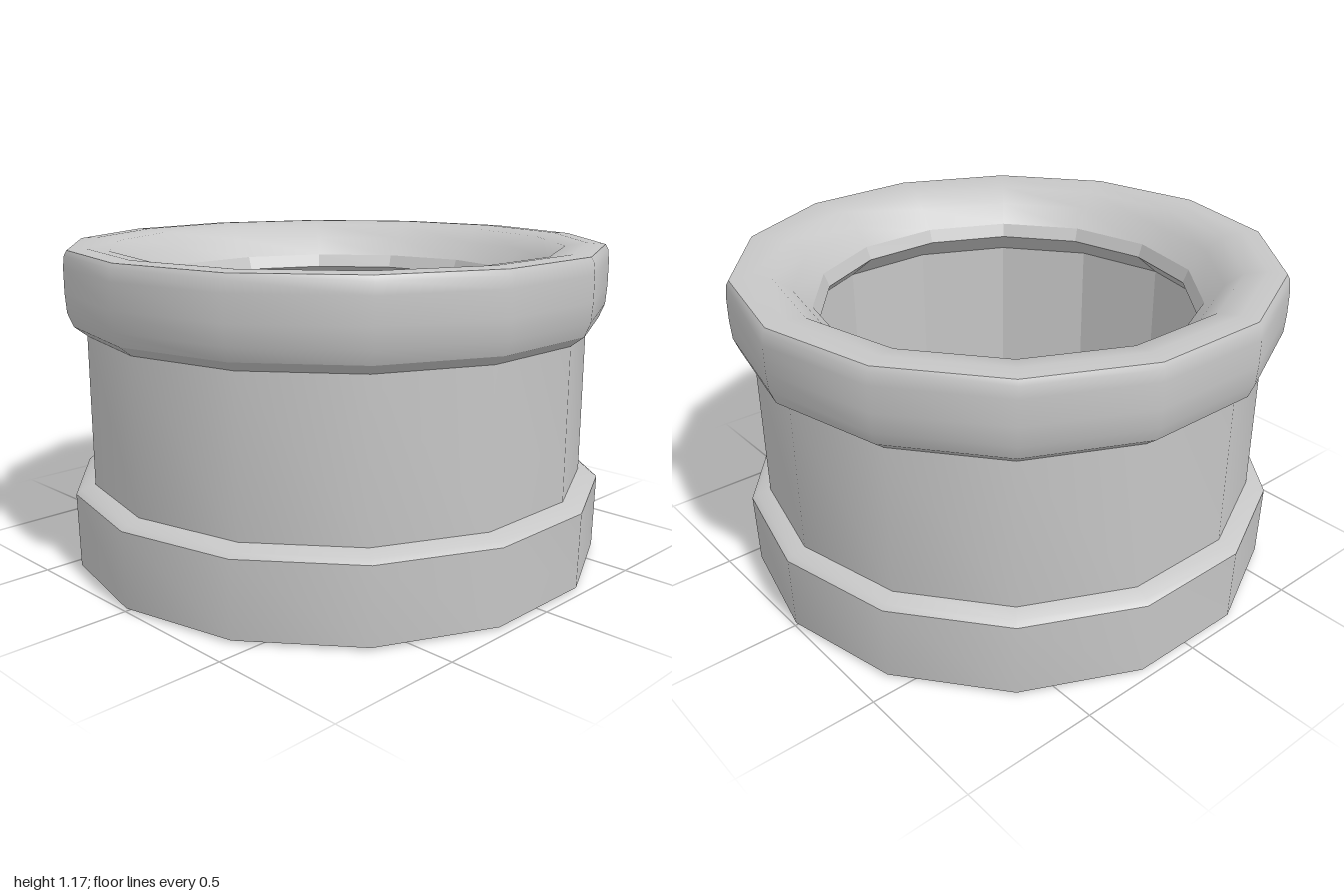
import * as THREE from 'three';
import { toCreasedNormals } from 'three/addons/utils/BufferGeometryUtils.js';

const SIDES = 14;

export function createModel() {
  const group = new THREE.Group();
  const grey = new THREE.MeshStandardMaterial({ color: 0xc6c6c6 });
  grey.name = 'plain grey';

  // Revolve [radius, height] points; a corner stays sharp above the crease angle
  function ring(name, profile, crease) {
    const points = profile.map(([r, y]) => new THREE.Vector2(r, y));
    const lathe = new THREE.LatheGeometry(points, SIDES, Math.PI / 2);
    const mesh = new THREE.Mesh(toCreasedNormals(lathe, crease), grey);
    mesh.name = name;
    group.add(mesh);
  }

  const smooth = 0.6, faceted = 0.1;

  // Base collar with a stepped bevel up to the body
  ring('underside', [[0.69, 0], [0.995, 0.01]], smooth);
  ring('baseCollar', [[0.995, 0.01], [1, 0.285]], smooth);
  ring('baseBevel', [[1, 0.285], [0.98, 0.3], [0.93, 0.315]], smooth);

  // Straight outer wall
  ring('outerWall', [[0.93, 0.315], [0.93, 0.865]], smooth);

  // Thick rim: sloped underside, rounded side and a dished top
  ring('rimUnderside', [[0.93, 0.865], [0.975, 0.9]], smooth);
  ring('rimSide', [
    [0.975, 0.9], [0.995, 0.95], [1, 1.02], [1, 1.11], [0.995, 1.15], [0.985, 1.168],
  ], smooth);
  ring('rimDish', [
    [0.985, 1.168], [0.92, 1.172], [0.84, 1.16], [0.775, 1.11], [0.71, 1.04],
  ], smooth);

  // Lip around the mouth, undercut to meet the wider bore
  ring('innerLip', [[0.71, 1.04], [0.69, 0.99]], faceted);
  ring('lipUndercut', [[0.69, 0.99], [0.8, 0.9]], faceted);

  // Flat-sided bore and the sloped floor ledge
  ring('innerWall', [[0.8, 0.9], [0.8, 0.08]], faceted);
  ring('floorLedge', [[0.8, 0.08], [0.69, 0]], faceted);

  return group;
}
